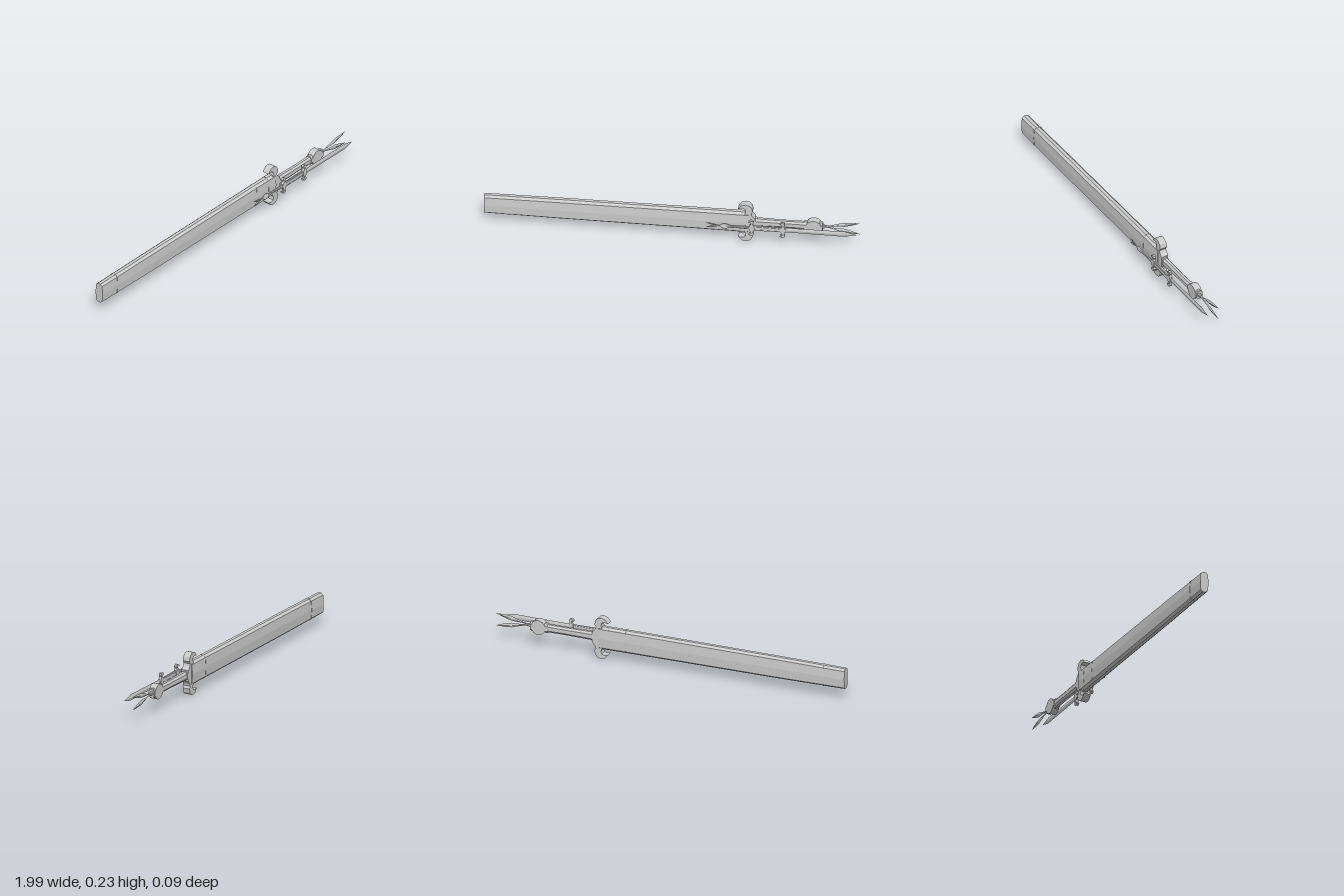
import * as THREE from 'three';

const mat = new THREE.MeshStandardMaterial({ color: 0xcccccc, flatShading: true, side: THREE.DoubleSide });
const CY = 0.1175;

function add(parent, name, geo) {
  const m = new THREE.Mesh(geo, mat);
  m.name = name;
  parent.add(m);
  return m;
}

// Loft along x: each station is [x, scaleY, scaleZ]; the ring is a list of [y, z]
function loft(ring, stations) {
  const pos = [], idx = [], n = ring.length, last = stations.length - 1;
  stations.forEach(([x, sy, sz]) => ring.forEach(([y, z]) => pos.push(x, y * sy, z * sz)));
  for (let s = 0; s < last; s++)
    for (let i = 0; i < n; i++) {
      const a = s * n + i, b = s * n + (i + 1) % n;
      idx.push(a, a + n, b, b, a + n, b + n);
    }
  for (let i = 1; i < n - 1; i++) {
    idx.push(0, i, i + 1);
    idx.push(last * n, last * n + i + 1, last * n + i);
  }
  const g = new THREE.BufferGeometry();
  g.setAttribute('position', new THREE.Float32BufferAttribute(pos, 3));
  g.setIndex(idx);
  const flat = g.toNonIndexed();
  flat.computeVertexNormals();
  return flat;
}

// Flat plate centred on z, from an upper-half outline mirrored in y
function plate(half, depth) {
  const pts = [...half, ...half.slice().reverse().map(([x, y]) => [x, -y])];
  const shape = new THREE.Shape(pts.map(([x, y]) => new THREE.Vector2(x, y)));
  return new THREE.ExtrudeGeometry(shape, { depth, bevelEnabled: false }).translate(0, 0, -depth / 2);
}

const diamond = [[1, 0], [0, 1], [-1, 0], [0, -1]];
const octagon = [[1, 0.45], [0.5, 1], [-0.5, 1], [-1, 0.45], [-1, -0.45], [-0.5, -1], [0.5, -1], [1, -0.45]];
// Scabbard section: faintly ridged sides and chamfered edges
const scabbard = [[0.06, 0.009], [0.049, 0.022], [0, 0.025], [-0.049, 0.022], [-0.06, 0.009],
  [-0.06, -0.009], [-0.049, -0.022], [0, -0.025], [0.049, -0.022], [0.06, -0.009]];

// Pair of leaf-shaped streamers that spread apart towards the tips
function streamers(parent, x, length, halfWidth, thick, spread, dir) {
  for (const s of [1, -1]) {
    const leaf = add(parent, 'streamer', loft(diamond, [
      [0, halfWidth * 0.25, thick], [length * 0.22, halfWidth * 0.3, thick], [length * 0.55, halfWidth, thick],
      [length * 0.75, halfWidth * 0.75, thick], [length, 0.0003, 0.0003]]));
    leaf.position.set(x, 0, 0);
    leaf.rotation.z = dir > 0 ? s * spread : Math.PI - s * spread;
  }
}

function makeSword() {
  const g = new THREE.Group();
  g.name = 'sheathedSword';
  add(g, 'scabbard', loft(scabbard, [[-1, 0.96, 0.96], [-0.6, 1.02, 1], [-0.2, 1.04, 1], [0.38, 1.07, 1]]));
  for (const [x, s] of [[-0.875, 1], [0.25, 1.075]])
    add(g, 'scabbardBand', loft(scabbard, [[x - 0.005, s, 1.05], [x + 0.005, s, 1.05]]));
  add(g, 'scabbardMouth', loft(scabbard, [[0.34, 1.075, 1.04], [0.4, 1.075, 1.04]]));

  // Guard with horns curling back over the scabbard
  add(g, 'guard', plate([[0.436, 0], [0.434, 0.03], [0.416, 0.05], [0.413, 0.062], [0.421, 0.075],
    [0.416, 0.098], [0.402, 0.112], [0.383, 0.1175], [0.362, 0.111], [0.344, 0.09], [0.366, 0.094],
    [0.38, 0.088], [0.384, 0.074], [0.378, 0.055], [0.368, 0.035], [0.366, 0]], 0.04));

  add(g, 'grip', loft(octagon, [[0.42, 0.024, 0.017], [0.6, 0.021, 0.015], [0.79, 0.023, 0.016]]));
  for (const x of [0.435, 0.7, 0.78])
    add(g, 'gripCollar', loft(octagon, [[x - 0.008, 0.026, 0.019], [x + 0.008, 0.026, 0.019]]));
  const disc = add(g, 'pommelDisc', new THREE.CylinderGeometry(0.041, 0.041, 0.038, 20));
  disc.rotation.x = Math.PI / 2;
  disc.position.x = 0.742;
  add(g, 'pommelStud', loft(octagon, [[0.785, 0.012, 0.01], [0.81, 0.007, 0.006]]));
  streamers(g, 0.795, 0.195, 0.013, 0.004, 0.18, 1);
  g.position.set(0, CY, -0.021);
  return g;
}

// Small hooked crossbar
function hookBar(parent, x, flip) {
  const f = flip ? -1 : 1;
  const half = [[0.016, 0], [0.01, 0.016], [0.006, 0.026], [0.011, 0.036], [0.007, 0.045], [-0.004, 0.048],
    [-0.016, 0.041], [-0.015, 0.034], [-0.006, 0.037], [-0.003, 0.031], [-0.006, 0.02], [-0.014, 0.012], [-0.014, 0]];
  add(parent, 'hookedCrossbar', plate(half.map(([a, b]) => [x + a * f, b]), 0.016));
}

function makeDagger() {
  const g = new THREE.Group();
  g.name = 'dagger';
  add(g, 'daggerGrip', loft(octagon, [[0.29, 0.008, 0.006], [0.35, 0.007, 0.006], [0.42, 0.009, 0.007]]));
  add(g, 'daggerPommel', loft(octagon, [[0.25, 0.004, 0.004], [0.27, 0.016, 0.008], [0.285, 0.015, 0.008], [0.305, 0.007, 0.006]]));
  hookBar(g, 0.42, false);
  // Fullered block between the crossbars
  add(g, 'ricasso', loft(octagon, [[0.42, 0.016, 0.006], [0.59, 0.014, 0.006]]));
  for (const s of [1, -1])
    add(g, 'ricassoRail', new THREE.BoxGeometry(0.15, 0.004, 0.015)).position.set(0.5, s * 0.009, 0);
  hookBar(g, 0.585, false);
  add(g, 'daggerBlade', loft(diamond, [[0.58, 0.014, 0.004], [0.85, 0.016, 0.004], [0.91, 0.017, 0.004], [0.975, 0.0004, 0.0004]]));
  streamers(g, 0.26, 0.085, 0.006, 0.002, 0.16, -1);
  g.position.set(0, CY + 0.002, 0.038);
  return g;
}

export function createModel() {
  const model = new THREE.Group();
  model.name = 'swordAndDagger';
  model.add(makeSword(), makeDagger());
  return model;
}
